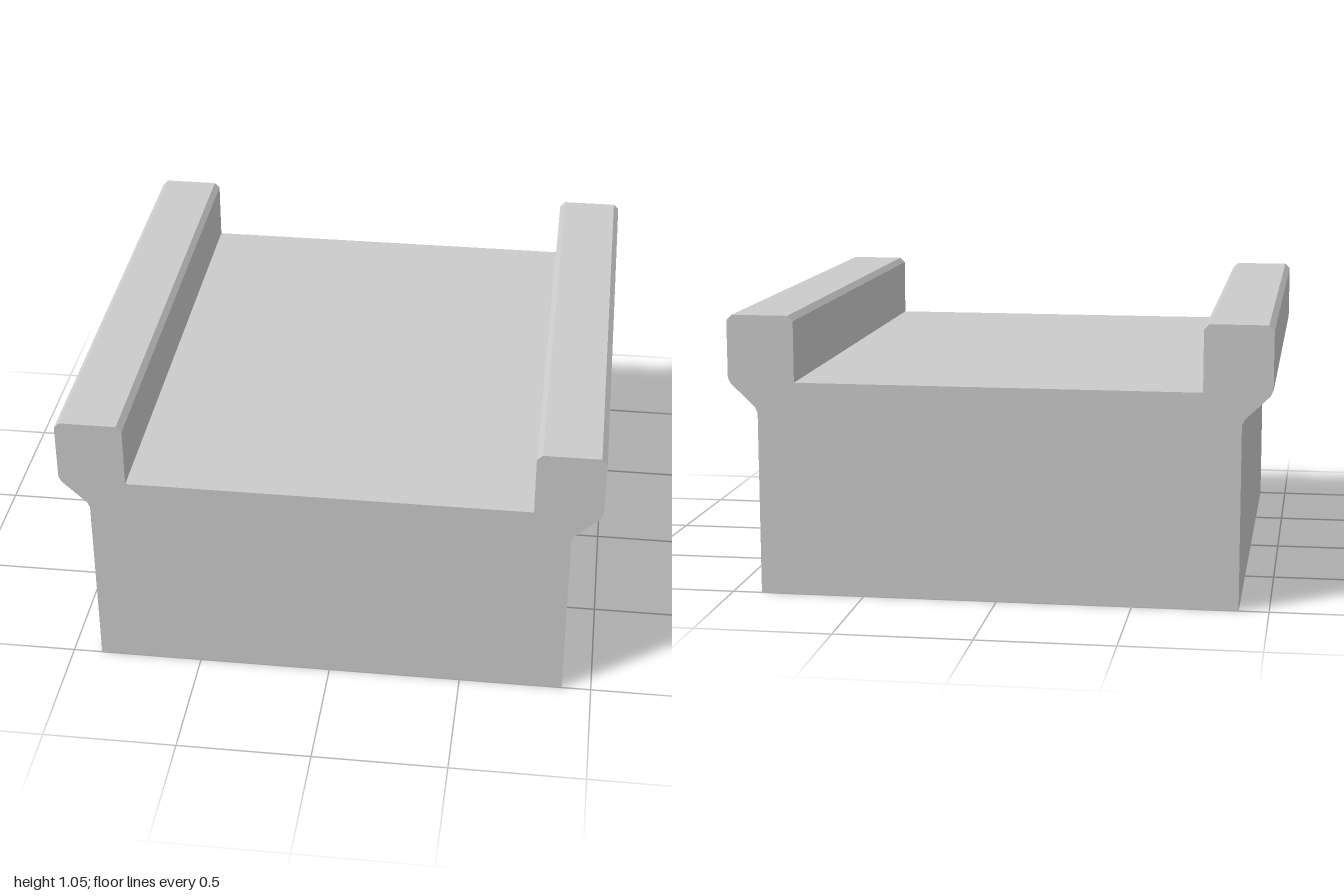
import * as THREE from 'three';

const LENGTH = 2;

// Left half of the cross-section, from the base up and over the side wall
const HALF_PROFILE = [
  [0.89, 0],
  [0.89, 0.685], [0.9, 0.706],   // eased start of the flare
  [0.99, 0.792], [1, 0.813],     // eased end of the flare
  [1, 1.027], [0.98, 1.047],     // outer chamfer
  [0.77, 1.047], [0.75, 1.027],  // inner chamfer
  [0.75, 0.8],                   // deck edge
];

export function createModel() {
  const model = new THREE.Group();
  model.name = 'channelBlock';

  // Mirror the half profile to close the section
  const mirrored = HALF_PROFILE.map(([x, y]) => [-x, y]).reverse();
  const section = new THREE.Shape(
    [...HALF_PROFILE, ...mirrored].map(([x, y]) => new THREE.Vector2(x, y))
  );

  // Solid bed with raised side walls, swept front to back
  const geometry = new THREE.ExtrudeGeometry(section, { depth: LENGTH, bevelEnabled: false });
  geometry.translate(0, 0, -LENGTH / 2);

  const material = new THREE.MeshStandardMaterial({ color: 0xcccccc, flatShading: true });
  const bed = new THREE.Mesh(geometry, material);
  bed.name = 'bedWithSideWalls';
  model.add(bed);

  return model;
}
